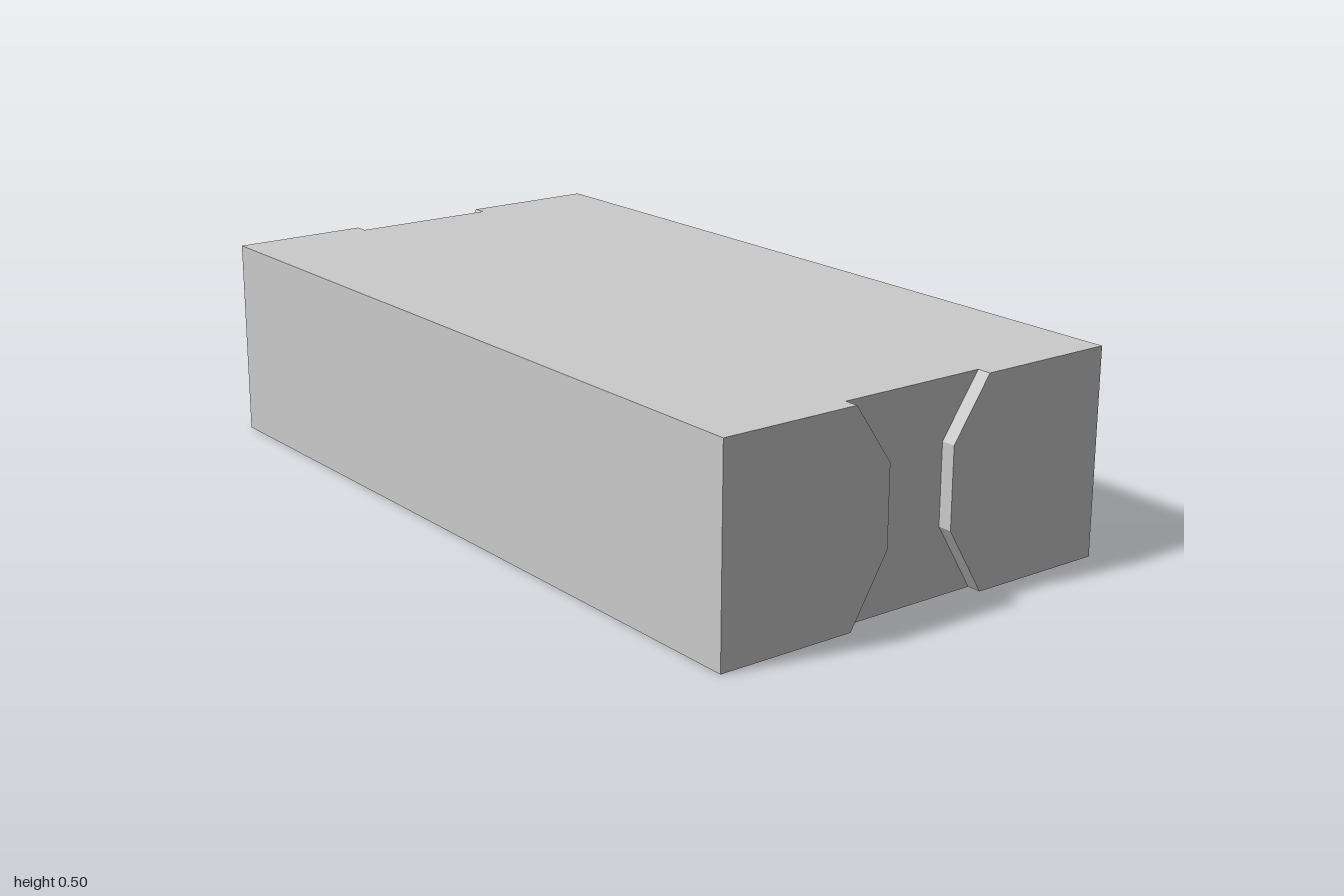
import * as THREE from 'three';

const HALF_LENGTH = 1, HALF_DEPTH = 0.54, GROOVE_FLOOR = 0.965;

// Height and groove half-width of each horizontal cross-section
const LEVELS = [[0, 0.19], [0.163, 0.092], [0.357, 0.092], [0.5, 0.19]];

// Plan outline with a groove in each end, counter-clockwise from above (y = -z)
function outline(groove) {
  const end = [
    [HALF_LENGTH, -HALF_DEPTH], [HALF_LENGTH, -groove], [GROOVE_FLOOR, -groove],
    [GROOVE_FLOOR, groove], [HALF_LENGTH, groove], [HALF_LENGTH, HALF_DEPTH],
  ];
  return [...end, ...end.map(([x, y]) => [-x, -y])].map(([x, y]) => new THREE.Vector2(x, y));
}

function blockGeometry() {
  const positions = [], index = [];
  const rings = LEVELS.map(([, groove]) => outline(groove));
  const n = rings[0].length;
  rings.forEach((ring, k) => ring.forEach((p) => positions.push(p.x, LEVELS[k][0], -p.y)));

  // Walls between neighbouring cross-sections
  for (let k = 0; k < rings.length - 1; k++) {
    for (let i = 0; i < n; i++) {
      const a = k * n + i, b = k * n + (i + 1) % n;
      index.push(a, b, b + n, a, b + n, a + n);
    }
  }

  // Top and bottom caps
  const top = (rings.length - 1) * n;
  for (const [a, b, c] of THREE.ShapeUtils.triangulateShape(rings[0], [])) {
    index.push(top + a, top + b, top + c, c, b, a);
  }

  const indexed = new THREE.BufferGeometry();
  indexed.setAttribute('position', new THREE.Float32BufferAttribute(positions, 3));
  indexed.setIndex(index);
  const geometry = indexed.toNonIndexed();
  geometry.computeVertexNormals();
  return geometry;
}

export function createModel() {
  const group = new THREE.Group();
  group.name = 'groovedBlock';
  const material = new THREE.MeshStandardMaterial({ color: 0xcccccc, flatShading: true });
  const block = new THREE.Mesh(blockGeometry(), material);
  block.name = 'block';
  group.add(block);
  return group;
}
